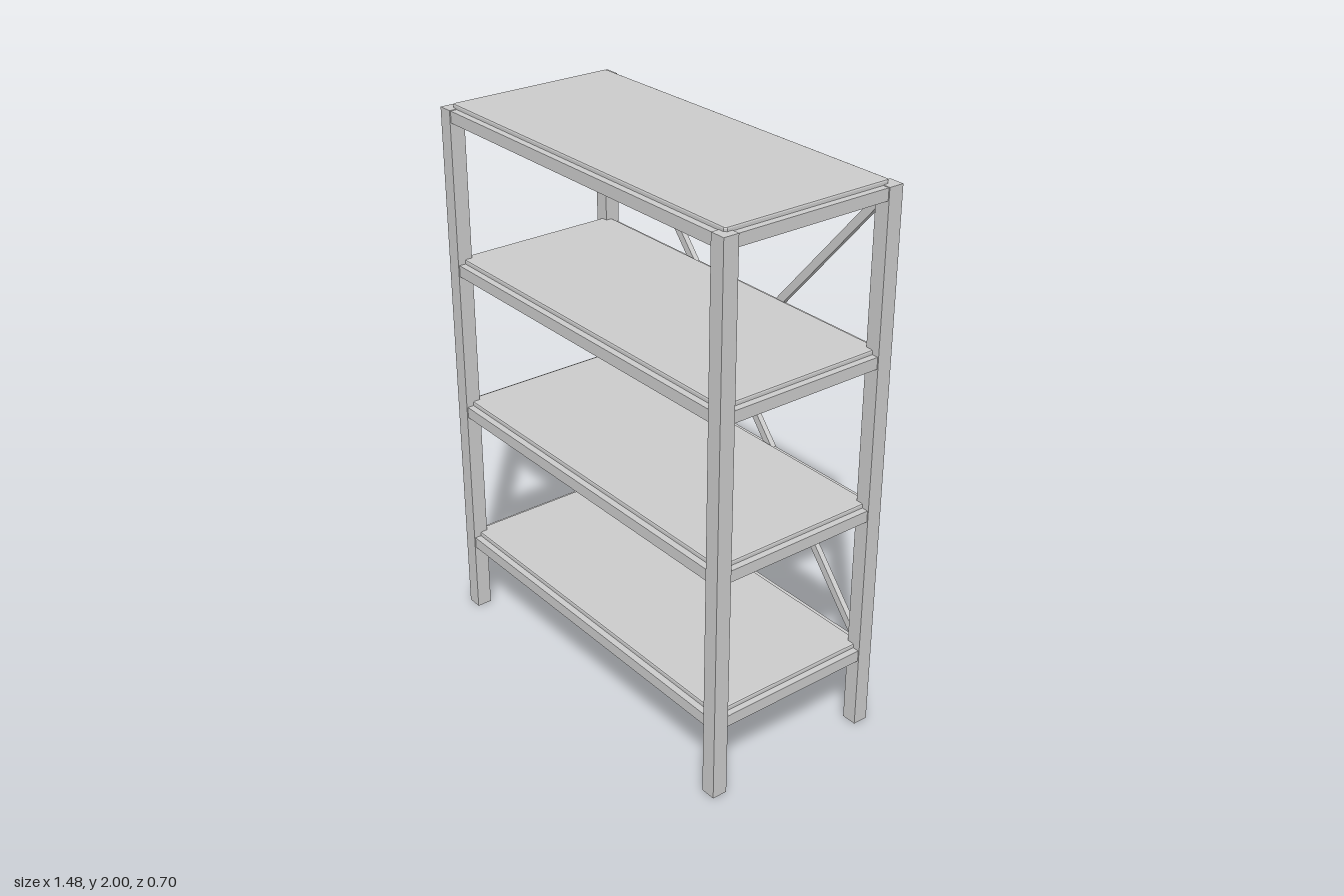
import * as THREE from 'three';

const material = new THREE.MeshStandardMaterial({ color: 0xcccccc, flatShading: true });

function add(parent, name, geometry, x, y, z) {
  const mesh = new THREE.Mesh(geometry, material);
  mesh.name = name;
  mesh.position.set(x, y, z);
  parent.add(mesh);
  return mesh;
}

// Box given by its lower and upper limits on each axis
function block(parent, name, [x0, x1], [y0, y1], [z0, z1]) {
  const geometry = new THREE.BoxGeometry(x1 - x0, y1 - y0, z1 - z0);
  return add(parent, name, geometry, (x0 + x1) / 2, (y0 + y1) / 2, (z0 + z1) / 2);
}

// Rectangle with cut corners, centred on the origin
function cutRectangle(halfW, halfH, cutX, cutY) {
  return new THREE.Shape([
    [halfW, -halfH + cutY], [halfW, halfH - cutY], [halfW - cutX, halfH], [-halfW + cutX, halfH],
    [-halfW, halfH - cutY], [-halfW, -halfH + cutY], [-halfW + cutX, -halfH], [halfW - cutX, -halfH],
  ].map(([x, y]) => new THREE.Vector2(x, y)));
}

const OUT = 0.741, POST = 0.056, FRONT = 0.351, BACK = -0.346;
const INSET = 0.004, RAIL = 0.03, MID_Z = (FRONT + BACK) / 2;

function createShelf(top) {
  const shelf = new THREE.Group();
  shelf.name = 'shelf';
  const y = [top - 0.058, top - 0.016];
  const inner = OUT - POST;
  // Rails between the posts
  block(shelf, 'frontRail', [-inner, inner], y, [FRONT - INSET - RAIL, FRONT - INSET]);
  block(shelf, 'backRail', [-inner, inner], y, [BACK + INSET, BACK + INSET + RAIL]);
  for (const s of [-1, 1]) {
    const a = s * (OUT - INSET), b = s * (OUT - INSET - RAIL);
    block(shelf, 'sideRail', [Math.min(a, b), Math.max(a, b)], y, [BACK + POST, FRONT - POST]);
  }
  // Board with a softened edge, lying on the rails
  const bevel = 0.006;
  const geometry = new THREE.ExtrudeGeometry(cutRectangle(0.707, 0.314, 0.004, 0.004), {
    depth: 0.01, bevelEnabled: true, bevelSize: bevel, bevelThickness: bevel, bevelSegments: 2,
  });
  geometry.rotateX(-Math.PI / 2);
  add(shelf, 'board', geometry, 0, top - 0.01 - bevel, MID_Z);
  return shelf;
}

export function createModel() {
  const model = new THREE.Group();
  model.name = 'shelvingUnit';

  // Corner posts
  for (const s of [-1, 1]) {
    const x = s > 0 ? [OUT - POST, OUT] : [-OUT, -OUT + POST];
    block(model, 'frontPost', x, [0, 1.986], [FRONT - POST, FRONT]);
    block(model, 'backPost', x, [0, 1.986], [BACK, BACK + POST]);
  }

  // Four evenly spaced shelves
  for (let i = 0; i < 4; i++) model.add(createShelf(2 - i * 0.5585));

  // Diagonal braces meeting at the plate
  const brace = (x0, y0, x1, y1) => {
    const length = Math.hypot(x1 - x0, y1 - y0);
    const bar = add(model, 'brace', new THREE.BoxGeometry(length, 0.029, 0.02),
      (x0 + x1) / 2, (y0 + y1) / 2, -0.335);
    bar.rotation.z = Math.atan2(y1 - y0, x1 - x0);
  };
  for (const s of [-1, 1]) {
    brace(s * 0.04, 1.21, s * 0.695, 1.955);
    brace(s * 0.03, 1.07, s * 0.695, 0.295);
  }

  // Centre plate
  const plate = new THREE.ExtrudeGeometry(cutRectangle(0.072, 0.117, 0.036, 0.042), {
    depth: 0.034, bevelEnabled: false,
  });
  add(model, 'bracePlate', plate, 0, 1.145, -0.352);

  return model;
}
